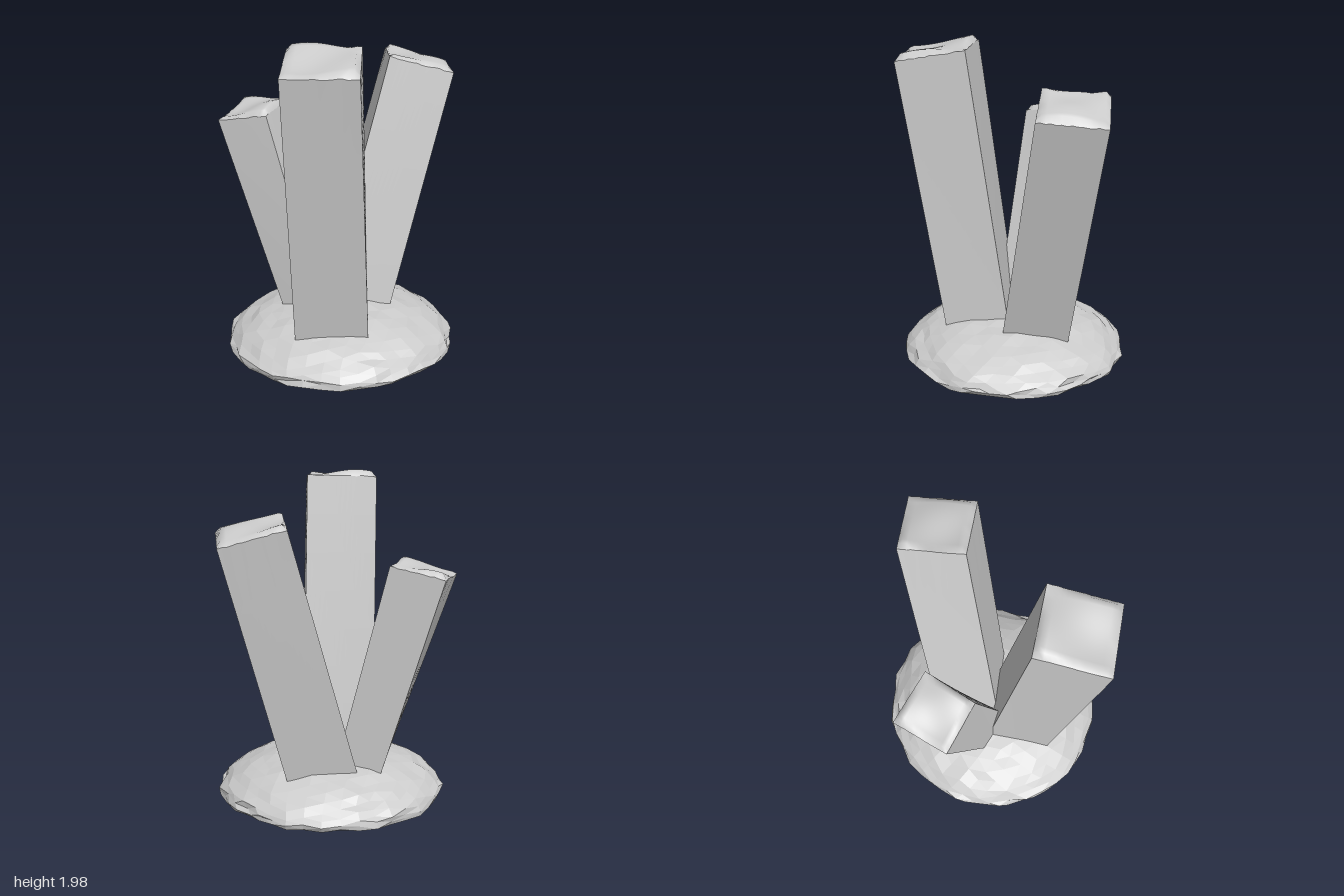
import * as THREE from 'three';

const grey = new THREE.MeshStandardMaterial({ color: 0xcccccc, side: THREE.DoubleSide });
const rock = new THREE.MeshStandardMaterial({ color: 0xcccccc, flatShading: true });

// Repeatable noise in -1..1 from a position
function noise(x, y, z, seed) {
  const s = Math.sin(Math.round(x * 1000) * 12.9898 + Math.round(y * 1000) * 78.233
    + Math.round(z * 1000) * 37.719 + seed * 11.13) * 43758.5453;
  return (s - Math.floor(s)) * 2 - 1;
}

// Low faceted mound with a flat underside and a ragged rim
function makeMound() {
  const geo = new THREE.IcosahedronGeometry(1, 6);
  const p = geo.attributes.position;
  for (let i = 0; i < p.count; i++) {
    const x = p.getX(i), y = p.getY(i), z = p.getZ(i);
    const spread = 1 + 0.022 * noise(x, y, z, 1);
    const height = y > 0
      ? 0.04 + 0.25 * Math.pow(y, 1.3) + 0.008 * noise(x, y, z, 2)
      : Math.max(0.008, 0.04 + y * 0.2 + 0.008 * noise(x, y, z, 3));
    p.setXYZ(i, -0.06 + x * 0.7 * spread, height, z * 0.69 * spread);
  }
  geo.computeVertexNormals();
  const mesh = new THREE.Mesh(geo, rock);
  mesh.name = 'mound';
  return mesh;
}

// Corner lists run back left, back right, front right, front left as [x, y, z]
function bilinear(c, u, v) {
  return [0, 1, 2].map(k =>
    (c[0][k] * (1 - u) + c[1][k] * u) * (1 - v) + (c[3][k] * (1 - u) + c[2][k] * u) * v);
}

// Square leaning pillar with a softly dented, bevelled cap
function makePillar(name, top, foot, phase) {
  const n = 14;
  const geo = new THREE.BoxGeometry(1, 1, 1, n, 8, n);
  const p = geo.attributes.position;
  for (let i = 0; i < p.count; i++) {
    const u = p.getX(i) + 0.5, v = p.getZ(i) + 0.5;
    const t = -0.1 + 1.1 * (p.getY(i) + 0.5); // the foot sinks into the mound
    const a = bilinear(foot, u, v), b = bilinear(top, u, v);
    const q = a.map((f, k) => f + (b[k] - f) * t);
    if (t > 0.999) {
      const inset = Math.min(u, 1 - u, v, 1 - v);
      const wave = Math.sin(u * 4.5 + phase) * Math.cos(v * 4 + phase * 0.7);
      const rim = Math.min(1, inset * n);
      q[1] += rim * (0.022 + 0.022 * wave) + 0.004 * noise(u, v, 0, 5) * (1 - rim);
    }
    p.setXYZ(i, ...q);
  }
  geo.computeVertexNormals();
  const mesh = new THREE.Mesh(geo, grey);
  mesh.name = name;
  return mesh;
}

export function createModel() {
  const group = new THREE.Group();
  group.name = 'pillarCluster';
  group.add(makeMound());
  group.add(makePillar('tallFrontPillar',
    [[-0.42, 1.95, 0.15], [-0.02, 1.96, 0.30], [-0.17, 1.88, 0.70], [-0.58, 1.88, 0.56]],
    [[-0.32, 0.25, -0.06], [0.10, 0.25, 0.07], [-0.03, 0.25, 0.45], [-0.45, 0.25, 0.32]], 0.3));
  group.add(makePillar('leftPillar',
    [[0.40, 1.76, -0.47], [0.77, 1.66, -0.36], [0.66, 1.69, 0.03], [0.29, 1.79, -0.09]],
    [[-0.07, 0.25, -0.37], [0.35, 0.25, -0.26], [0.23, 0.25, 0.13], [-0.18, 0.25, 0.02]], 1.2));
  group.add(makePillar('shortBackPillar',
    [[-0.50, 1.44, -0.63], [-0.25, 1.50, -0.41], [-0.47, 1.47, -0.16], [-0.72, 1.41, -0.36]],
    [[-0.22, 0.25, -0.41], [0.0, 0.25, -0.22], [-0.20, 0.25, 0.08], [-0.41, 0.25, -0.11]], 0.8));
  return group;
}
